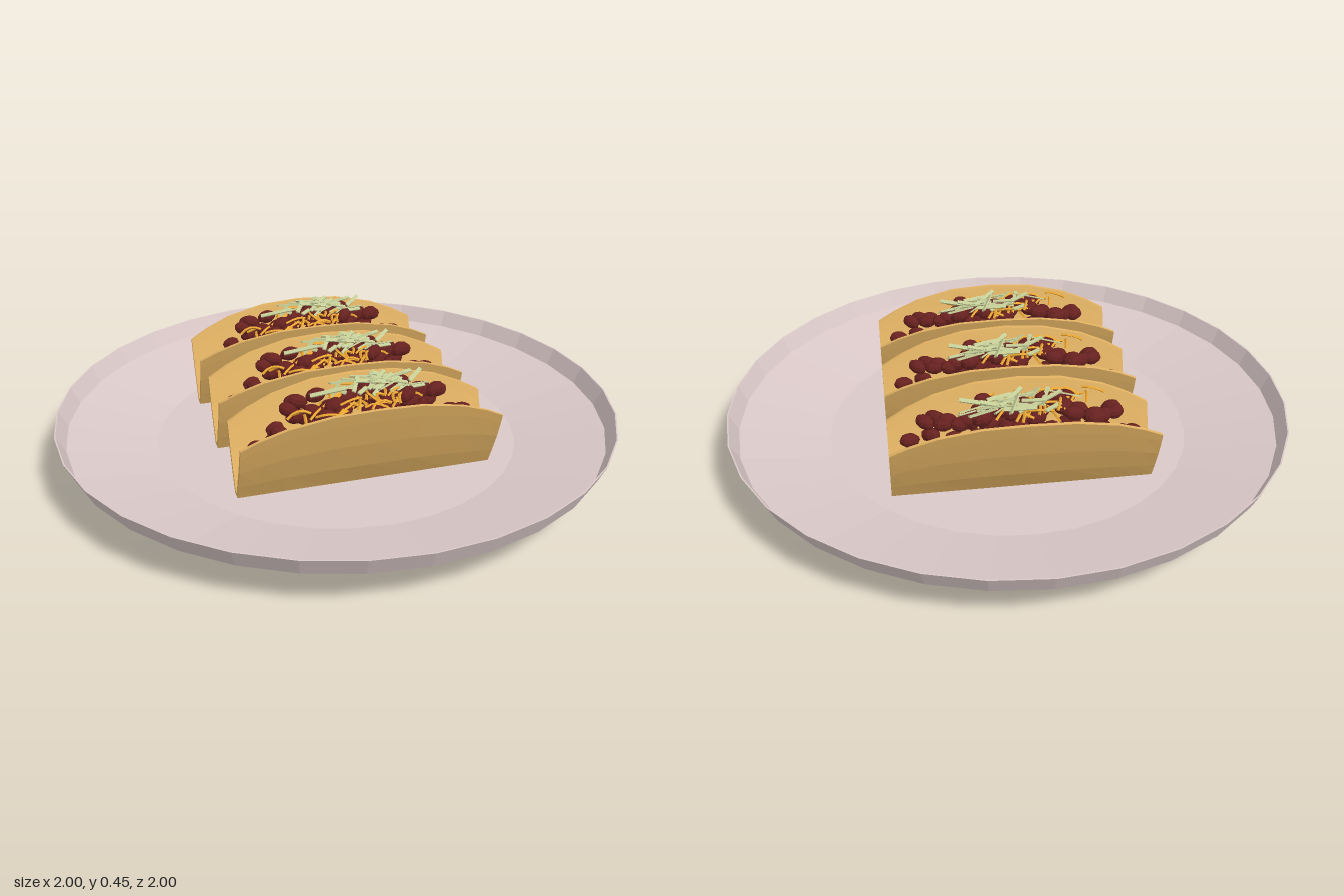
import * as THREE from 'three';
import { mergeGeometries } from 'three/addons/utils/BufferGeometryUtils.js';

const mat = (color, double = false) => new THREE.MeshStandardMaterial({
  color, flatShading: true, side: double ? THREE.DoubleSide : THREE.FrontSide });

function seeded(seed) {
  return () => {
    seed = (seed * 16807) % 2147483647;
    return seed / 2147483647;
  };
}

function mesh(name, geometry, material) {
  const m = new THREE.Mesh(geometry, material);
  m.name = name;
  return m;
}

// Rim height and spread of the folded shell at a position along its length
const END = 0.445, BASE = 0.08;
const rimY = (x) => 0.405 - 0.105 * Math.pow(Math.abs(x) / END, 2.5);
const spread = (x) => 0.155 - 0.045 * Math.pow(Math.abs(x) / END, 2);

// Half the opening of the fold at a given height
function halfWidth(x, y) {
  const t = Math.max(0, (y - BASE) / (rimY(x) - BASE));
  return spread(x) * Math.pow(t, 0.62);
}

// Folded shell: closed U cross-sections lofted along x
function shellGeometry() {
  const xs = [-0.445, -0.38, -0.29, -0.15, 0, 0.15, 0.29, 0.38, 0.445];
  const us = [-1, -0.87, -0.6, -0.3, -0.07, 0.07, 0.3, 0.6, 0.87, 1];
  const pos = [], index = [], n = us.length * 2;
  for (const x of xs) {
    const h = rimY(x) - BASE;
    const side = (u, inset) => {
      const y = BASE + h * (Math.abs(u) - 0.07) / 0.93;
      const w = Math.max(halfWidth(x, y), 0.02);
      pos.push(x, y + inset * (1 - Math.abs(u)), Math.sign(u) * Math.max(w - inset, 0.01));
    };
    us.forEach((u) => side(u, 0));
    [...us].reverse().forEach((u) => side(u, 0.014));
  }
  for (let i = 0; i < xs.length - 1; i++) {
    for (let j = 0; j < n; j++) {
      const a = i * n + j, b = i * n + (j + 1) % n;
      index.push(a, b, a + n, b, b + n, a + n);
    }
  }
  // End edges join the outer and inner walls
  for (const s of [0, (xs.length - 1) * n]) {
    for (let j = 0; j < us.length - 1; j++) {
      const a = s + j, b = a + 1, c = s + n - 1 - j, d = c - 1;
      index.push(a, c, b, b, c, d);
    }
  }
  const g = new THREE.BufferGeometry();
  g.setAttribute('position', new THREE.Float32BufferAttribute(pos, 3));
  g.setIndex(index);
  g.computeVertexNormals();
  return g;
}

// Beans heaped in layers inside the fold
function beansGeometry(rand) {
  const parts = [];
  const layers = [[0.15, 0.40, 13], [0.2, 0.40, 18], [0.255, 0.39, 22], [0.31, 0.34, 24], [0.355, 0.28, 22], [0.385, 0.17, 9]];
  for (const [y0, reach, count] of layers) {
    for (let i = 0; i < count; i++) {
      const x = reach * (2 * (i + 0.5) / count - 1) + (rand() - 0.5) * 0.03;
      const y = y0 + (rand() - 0.5) * 0.03;
      const room = Math.max(0, Math.min(halfWidth(x, Math.min(y, rimY(x))) - 0.04, 0.075));
      const g = new THREE.SphereGeometry(1, 8, 6);
      g.scale(0.036, 0.024, 0.025);
      g.rotateZ((rand() - 0.5) * 0.9);
      g.rotateY((rand() - 0.5) * 1.6);
      g.translate(x, y, (rand() * 2 - 1) * room);
      parts.push(g);
    }
  }
  return mergeGeometries(parts);
}

// Curled cheese shreds, mostly along the front side
function cheeseGeometry(rand) {
  const parts = [];
  for (let i = 0; i < 46; i++) {
    const x = -0.04 + (rand() + rand() - 1) * 0.24;
    const z = 0.015 + (rand() - 0.5) * 0.14;
    const y = 0.395 - Math.abs(x) * 0.08 + (rand() - 0.5) * 0.035;
    const half = 0.03 + rand() * 0.025;
    const curve = new THREE.QuadraticBezierCurve3(
      new THREE.Vector3(-half, -0.01, 0),
      new THREE.Vector3(0, 0.015, (rand() - 0.5) * 0.07),
      new THREE.Vector3(half, -0.01, 0));
    const g = new THREE.TubeGeometry(curve, 4, 0.005, 4);
    g.rotateZ((rand() - 0.5) * 0.5);
    g.rotateY(rand() * Math.PI);
    g.translate(x, y, z);
    parts.push(g);
  }
  return mergeGeometries(parts);
}

// Flat lettuce strips on top
function lettuceGeometry(rand) {
  const parts = [];
  for (let i = 0; i < 26; i++) {
    const x = 0.05 + (rand() + rand() - 1) * 0.2;
    const g = new THREE.BoxGeometry(0.07 + rand() * 0.06, 0.005, 0.014);
    g.rotateX((rand() - 0.5) * 1.4);
    g.rotateZ((rand() - 0.5) * 0.6);
    g.rotateY((rand() - 0.5) * 1.8 + 0.3);
    g.translate(x, 0.425 - Math.abs(x) * 0.12 + (rand() - 0.5) * 0.03, -0.025 + (rand() - 0.5) * 0.09);
    parts.push(g);
  }
  return mergeGeometries(parts);
}

export function createModel() {
  const model = new THREE.Group();
  model.name = 'tacoPlate';

  // Shallow plate with a foot ring, underside first and then the upper face
  const profile = [[0, 0.062], [0.32, 0.062], [0.33, 0], [0.343, 0], [0.343, 0.068],
    [0.65, 0.068], [0.97, 0.135], [1, 0.2], [0.995, 0.2], [0.965, 0.141], [0.65, 0.076], [0, 0.076]];
  const plate = new THREE.LatheGeometry(profile.map(([r, y]) => new THREE.Vector2(r, y)), 32);
  model.add(mesh('plate', plate, mat(0xdac8c8)));

  // Three identical filled tacos side by side
  const rand = seeded(4217);
  const parts = [
    ['shell', shellGeometry(), mat(0xe3b364, true)],
    ['beans', beansGeometry(rand), mat(0x66211f)],
    ['cheese', cheeseGeometry(rand), mat(0xeaa632)],
    ['lettuce', lettuceGeometry(rand), mat(0xc3cc96)],
  ];
  for (const z of [-0.37, -0.005, 0.345]) {
    const taco = new THREE.Group();
    taco.name = 'taco';
    parts.forEach(([name, g, m]) => taco.add(mesh(name, g, m)));
    taco.position.z = z;
    model.add(taco);
  }
  return model;
}
